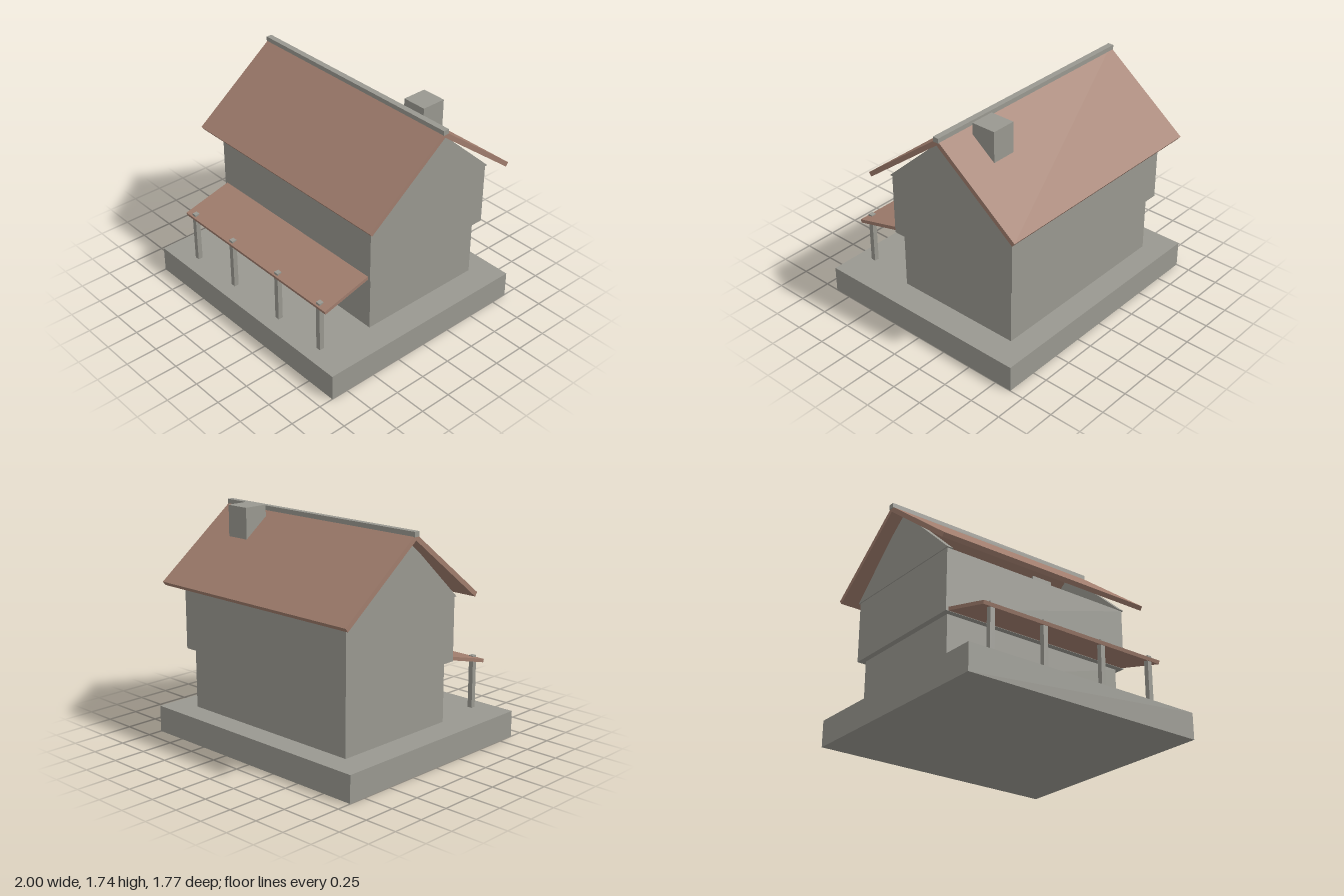
import * as THREE from 'three';

export function createModel() {
  const model = new THREE.Group();
  model.name = 'house';

  const stone = new THREE.MeshStandardMaterial({ color: 0x999890 });
  stone.name = 'warm grey';
  const tile = new THREE.MeshStandardMaterial({ color: 0xa07d6d });
  tile.name = 'clay brown';

  const add = (name, geometry, material) => {
    const mesh = new THREE.Mesh(geometry, material);
    mesh.name = name;
    model.add(mesh);
    return mesh;
  };

  // Box given by its lower and upper corners
  const block = (name, material, [x0, y0, z0], [x1, y1, z1]) => {
    const mesh = add(name, new THREE.BoxGeometry(x1 - x0, y1 - y0, z1 - z0), material);
    mesh.position.set((x0 + x1) / 2, (y0 + y1) / 2, (z0 + z1) / 2);
    return mesh;
  };

  // Prism along x from a side outline of [z, y] points
  const prism = (name, material, outline, x0, x1) => {
    const shape = new THREE.Shape(outline.map(([z, y]) => new THREE.Vector2(-z, y)));
    const geometry = new THREE.ExtrudeGeometry(shape, { depth: x1 - x0, bevelEnabled: false });
    geometry.rotateY(Math.PI / 2).translate(x0, 0, 0);
    return add(name, geometry, material);
  };

  // Sloping slab whose top runs from a to b, [z, y], with square-cut ends
  const slab = (name, a, b, thickness, halfWidth) => {
    const dz = b[0] - a[0], dy = b[1] - a[1], length = Math.hypot(dz, dy);
    const s = Math.sign(dz) * thickness / length;
    const under = ([z, y]) => [z + dy * s, y - dz * s];
    return prism(name, tile, [a, b, under(b), under(a)], -halfWidth, halfWidth);
  };

  // Base and the two storeys
  block('base', stone, [-1, 0, -0.886], [1, 0.205, 0.886]);
  block('lowerFloor', stone, [-0.78, 0.205, -0.70], [0.78, 0.67, 0.335]);
  block('upperFloor', stone, [-0.824, 0.67, -0.746], [0.824, 1.155, 0.381]);

  // Thin gable walls at both ends
  const ridgeZ = -0.184;
  for (const [name, x] of [['leftGable', 0.78], ['rightGable', -0.832]]) {
    prism(name, stone, [[0.395, 1.155], [-0.762, 1.155], [ridgeZ, 1.685]], x, x + 0.052);
  }

  // Main roof, ridge beam and chimney
  slab('frontRoof', [0.498, 1.186], [ridgeZ, 1.708], 0.036, 0.936);
  slab('backRoof', [-0.866, 1.186], [ridgeZ, 1.708], 0.036, 0.936);
  block('ridge', stone, [-0.943, 1.688, ridgeZ - 0.023], [0.943, 1.725, ridgeZ + 0.023]);
  block('chimney', stone, [0.468, 1.2, -0.446], [0.66, 1.743, -0.252]);

  // Porch roof and its posts
  slab('porchRoof', [0.78, 0.597], [0.36, 0.706], 0.027, 0.802);
  for (const x of [-0.72, -0.264, 0.258, 0.714]) {
    block('porchPost', stone, [x - 0.019, 0.205, 0.729], [x + 0.019, 0.617, 0.767]);
  }

  return model;
}
